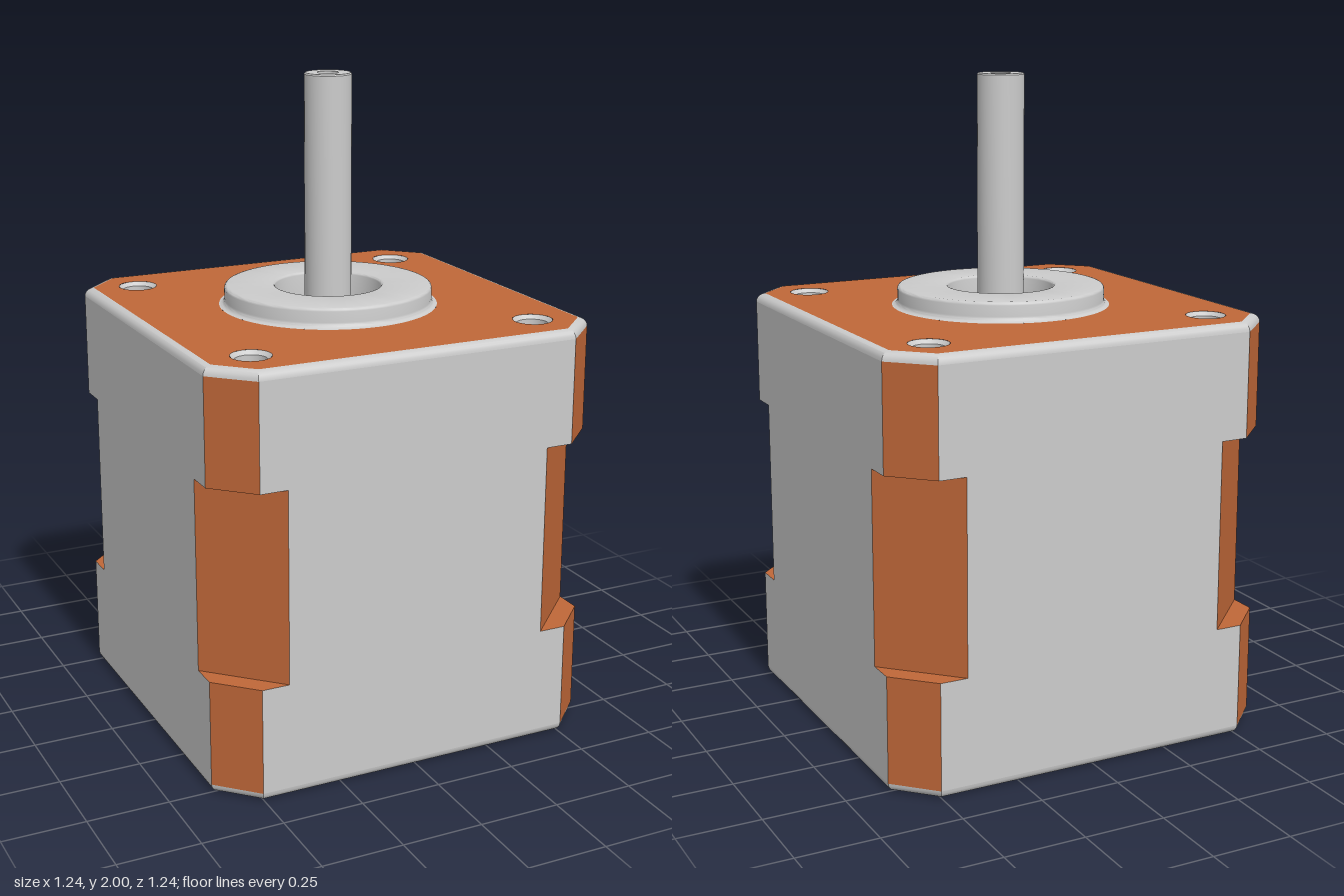
import * as THREE from 'three';
import { toCreasedNormals } from 'three/addons/utils/BufferGeometryUtils.js';

const W = 0.62, C = 0.505, NOTCH = 0.42; // half width, chamfer start, notch start
const H = 1.295, R = 0.027;              // body height, edge rounding
const N0 = 0.355, N1 = 0.945;            // notch bottom and top
const HOLE = 0.457;                      // screw hole offset

const grey = new THREE.MeshStandardMaterial({ color: 0xcccccc });
const copper = new THREE.MeshStandardMaterial({ color: 0xbf6738 });

function add(parent, name, geometry, material) {
  const mesh = new THREE.Mesh(geometry, material);
  mesh.name = name;
  parent.add(mesh);
  return mesh;
}

const polygon = (pts) => new THREE.Shape(pts.map(([x, y]) => new THREE.Vector2(x, y)));

// Chamfered square, moved inward by d
function octagon(d) {
  const w = W - d, c = C - 0.414 * d;
  return [[w, -c], [w, c], [c, w], [-c, w], [-w, c], [-w, -c], [-c, -w], [c, -w]];
}

function lathe(pts, segments = 48) {
  const g = new THREE.LatheGeometry(pts.map(([x, y]) => new THREE.Vector2(x, y)), segments);
  return toCreasedNormals(g, 0.6);
}

// Quarter-round profile points about (cx, cy)
function arc(cx, cy, r, from, to, n = 5) {
  return Array.from({ length: n + 1 }, (_, i) => {
    const a = THREE.MathUtils.degToRad(from + (to - from) * i / n);
    return [cx + r * Math.cos(a), cy + r * Math.sin(a)];
  });
}

// End plate with round holes for the screws and the centre
function plate(screwRadius, centreRadius) {
  const shape = polygon(octagon(R));
  const cut = (x, y, r) => shape.holes.push(new THREE.Path().absarc(x, y, r, 0, Math.PI * 2, true));
  for (const x of [-HOLE, HOLE]) for (const y of [-HOLE, HOLE]) cut(x, y, screwRadius);
  cut(0, 0, centreRadius);
  return new THREE.ShapeGeometry(shape, 24);
}

// Rounded rim swept around the chamfered square, from the wall to the top
function roundedRim() {
  const pos = [], index = [], steps = 5;
  for (let i = 0; i <= steps; i++) {
    const a = Math.PI / 2 * i / steps;
    for (const [x, z] of octagon(R * (1 - Math.cos(a)))) pos.push(x, H - R + R * Math.sin(a), z);
  }
  for (let i = 0; i < steps; i++) {
    for (let j = 0; j < 8; j++) {
      const a = i * 8 + j, b = i * 8 + (j + 1) % 8;
      index.push(a, a + 8, b, b, a + 8, b + 8);
    }
  }
  const g = new THREE.BufferGeometry();
  g.setAttribute('position', new THREE.Float32BufferAttribute(pos, 3));
  g.setIndex(index);
  return toCreasedNormals(g, 0.5);
}

// One side wall with its corner chamfer and notch
function bodyQuarter() {
  const q = new THREE.Group();
  const b = R, t = H - R;
  const wall = polygon([
    [-C, b], [C, b], [C, N0], [NOTCH, N0], [NOTCH, N1], [C, N1],
    [C, t], [-C, t], [-C, N1], [-NOTCH, N1], [-NOTCH, N0], [-C, N0],
  ]);
  add(q, 'sideWall', new THREE.ShapeGeometry(wall).translate(0, 0, W), grey);

  const chamfer = (name, start, y0, y1) => {
    const g = new THREE.PlaneGeometry((W - start) * Math.SQRT2, y1 - y0);
    g.translate(0, (y0 + y1) / 2, (W + start) / Math.SQRT2).rotateY(Math.PI / 4);
    add(q, name, g, copper);
  };
  chamfer('lowerChamfer', C, b, N0);
  chamfer('cornerNotch', NOTCH, N0, N1);
  chamfer('upperChamfer', C, N1, t);

  // Flat ledges closing the notch
  const down = polygon([[W, NOTCH], [W, C], [C, W], [NOTCH, W]]);
  const up = polygon([[W, -NOTCH], [W, -C], [C, -W], [NOTCH, -W]]);
  add(q, 'upperLedge', new THREE.ShapeGeometry(down).rotateX(Math.PI / 2).translate(0, N1, 0), copper);
  add(q, 'lowerLedge', new THREE.ShapeGeometry(up).rotateX(-Math.PI / 2).translate(0, N0, 0), copper);
  return q;
}

export function createModel() {
  const model = new THREE.Group();
  model.name = 'steppedMotor';

  // Body
  for (let i = 0; i < 4; i++) {
    const q = bodyQuarter();
    q.name = 'bodyQuarter';
    q.rotation.y = i * Math.PI / 2;
    model.add(q);
  }
  const rim = roundedRim();
  add(model, 'topRim', rim, grey);
  const bottomRim = add(model, 'bottomRim', rim, grey);
  bottomRim.rotation.x = Math.PI;
  bottomRim.position.y = H;

  // End plates
  add(model, 'topPlate', plate(0.06, 0.337).rotateX(-Math.PI / 2).translate(0, H, 0), copper);
  add(model, 'bottomPlate', plate(0.1, 0.19).rotateX(Math.PI / 2), copper);

  // Blind screw holes
  const topHole = lathe([...arc(0.048, H - 0.012, 0.012, 0, 0, 0).slice(1),
    [0.06, H], [0.048, H - 0.012], [0.048, H - 0.14], [0, H - 0.14]], 24);
  const bottomHole = lathe([[0, 0.15], [0.075, 0.15], ...arc(0.1, 0.025, 0.025, 180, 270)], 24);
  for (const x of [-HOLE, HOLE]) {
    for (const z of [-HOLE, HOLE]) {
      add(model, 'topScrewHole', topHole, grey).position.set(x, 0, z);
      add(model, 'bottomScrewHole', bottomHole, grey).position.set(x, 0, z);
    }
  }

  // Pilot boss with a recess around the shaft
  add(model, 'pilotBoss', lathe([
    ...arc(0.337, H + 0.017, 0.017, 270, 180),
    ...arc(0.31, 1.345, 0.01, 0, 90, 3),
    ...arc(0.172, 1.347, 0.008, 90, 180, 3),
    [0.164, 1.22], [0, 1.22],
  ], 64), grey);

  // Shaft with a centre dimple in its end
  add(model, 'shaft', lathe([
    [0.072, 1.2], [0.072, 1.996], [0.068, 2], [0.032, 2], [0.032, 1.96], [0, 1.96],
  ], 32), grey);

  // Rear bearing recess with a raised collar
  add(model, 'rearBearing', lathe([
    [0, 0.08], [0.075, 0.08], [0.075, 0.03], [0.085, 0.02], [0.105, 0.02], [0.115, 0.03],
    [0.115, 0.07], [0.15, 0.07], ...arc(0.19, 0.04, 0.04, 180, 270),
  ]), grey);

  return model;
}
